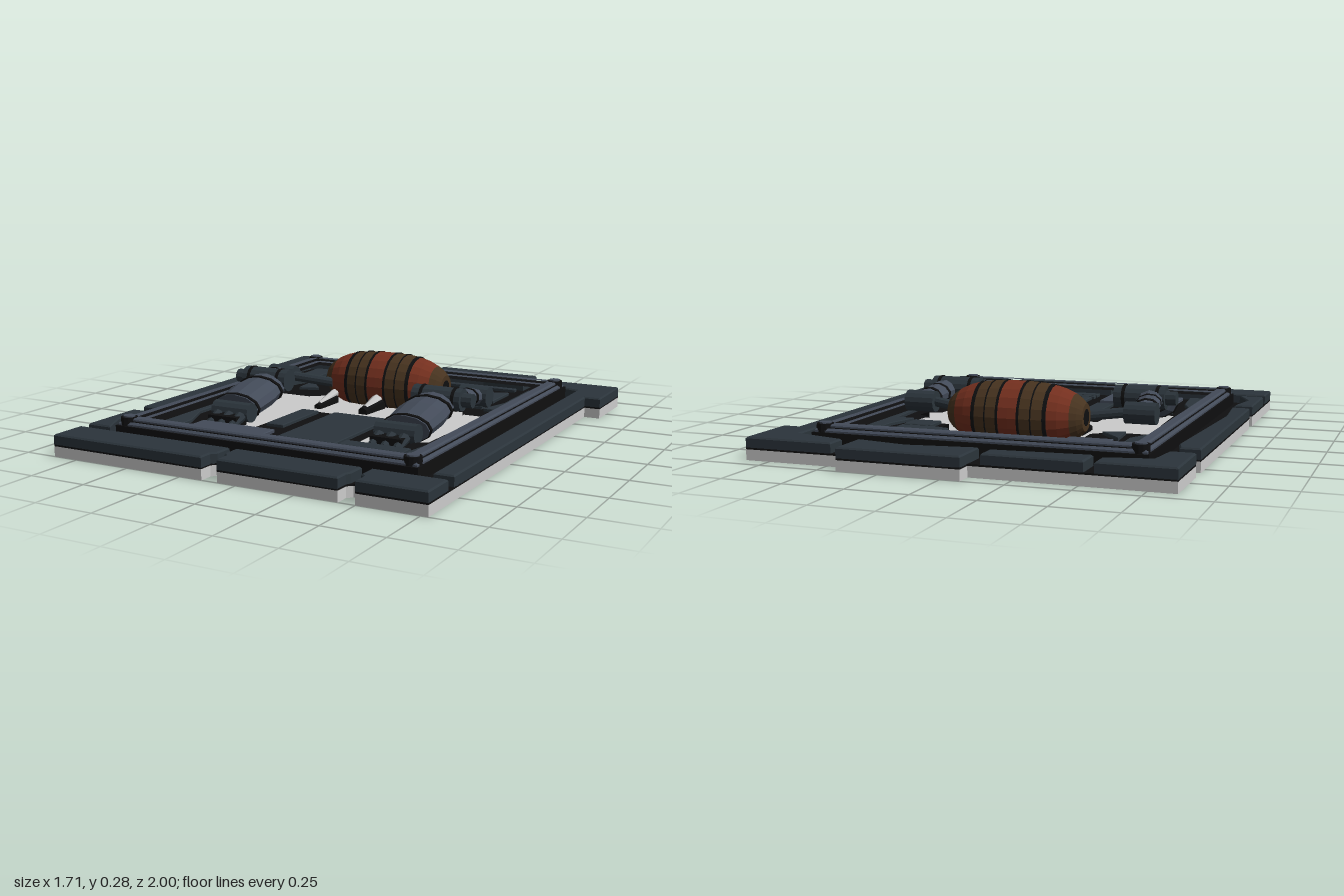
import * as THREE from 'three';

const mat = (name, color) => {
  const m = new THREE.MeshStandardMaterial({ color });
  m.name = name;
  return m;
};

export function createModel() {
  const pale = mat('pale base', 0xcccccc), slate = mat('dark slate', 0x2b343b), black = mat('black', 0x0f0f10);
  const steel = mat('blue steel', 0x434b59), brown = mat('brown wood', 0x47331f), red = mat('red band', 0x75301f);
  for (const m of [slate, black, steel, brown, red]) m.flatShading = true;
  const model = new THREE.Group();

  const add = (name, geo, material, pos = [0, 0, 0], parent = model) => {
    const mesh = new THREE.Mesh(geo, material);
    mesh.name = name;
    mesh.position.set(...pos);
    parent.add(mesh);
    return mesh;
  };
  // plan outline in (x, z), raised from y0 to y1
  const toV = pts => pts.map(([x, z]) => new THREE.Vector2(x, -z));
  const slab = (name, pts, y0, y1, material, hole, bevel = 0) => {
    const shape = new THREE.Shape(toV(pts));
    if (hole) shape.holes.push(new THREE.Path(toV(hole)));
    const geo = new THREE.ExtrudeGeometry(shape, {
      depth: y1 - y0 - bevel, bevelEnabled: bevel > 0, bevelSize: bevel,
      bevelThickness: bevel, bevelOffset: -bevel, bevelSegments: 1,
    });
    geo.rotateX(-Math.PI / 2);
    return add(name, geo, material, [0, y0, 0]);
  };
  const rect = (x0, x1, z0, z1) => [[x0, z0], [x1, z0], [x1, z1], [x0, z1]];
  // cylinder between two points
  const rod = (name, a, b, r0, r1, material, parent, squash = 1, sides = 10) => {
    const from = new THREE.Vector3(...a), to = new THREE.Vector3(...b);
    const geo = new THREE.CylinderGeometry(r1, r0, from.distanceTo(to), sides);
    geo.scale(1, 1, squash);
    const mesh = add(name, geo, material, from.clone().add(to).multiplyScalar(0.5).toArray(), parent);
    mesh.quaternion.setFromUnitVectors(new THREE.Vector3(0, 1, 0), to.sub(from).normalize());
    return mesh;
  };

  // tile base with locking notches
  const outline = [
    [-0.86, -0.93], [-0.08, -0.93], [-0.08, -1], [0.42, -1], [0.42, -0.93], [0.85, -0.93], [0.85, -0.65],
    [0.78, -0.65], [0.78, 1], [0.5, 1], [0.5, 0.94], [0.48, 0.92], [0.45, 0.92], [0.43, 0.94], [0.43, 1],
    [-0.08, 1], [-0.08, 0.94], [-0.1, 0.92], [-0.13, 0.92], [-0.15, 0.94], [-0.15, 1], [-0.86, 1],
    [-0.86, 0.5], [-0.81, 0.5], [-0.79, 0.48], [-0.79, 0.45], [-0.81, 0.43], [-0.86, 0.43],
    [-0.86, -0.57], [-0.81, -0.57], [-0.79, -0.59], [-0.79, -0.63], [-0.81, -0.65], [-0.86, -0.65],
  ];
  const recess = [
    [-0.28, -0.5], [0.2, -0.5], [0.2, -0.43], [0.27, -0.42], [0.28, -0.28], [0.35, -0.28], [0.36, -0.24],
    [0.51, -0.24], [0.49, -0.02], [0.54, 0.0], [0.53, 0.08], [0.48, 0.1], [0.47, 0.34], [0.42, 0.37], [0.41, 0.48],
    [0.19, 0.48], [0.18, 0.09], [-0.26, 0.09], [-0.27, 0.48], [-0.48, 0.48], [-0.5, 0.37], [-0.56, 0.34],
    [-0.57, -0.02], [-0.59, -0.24], [-0.42, -0.24], [-0.35, -0.3], [-0.35, -0.42], [-0.28, -0.43],
  ];
  slab('baseSlab', outline, 0, 0.043, pale);
  slab('grooveLayer', outline, 0.043, 0.05, black, recess);
  slab('innerFloor', rect(-0.66, 0.59, -0.73, 0.73), 0.05, 0.07, black, recess);

  // border planks
  const planks = [
    [[-0.86, -0.93], [-0.56, -0.93], [-0.56, -0.84], [-0.74, -0.8], [-0.76, -0.65], [-0.86, -0.65]],
    [[-0.52, -0.93], [-0.13, -0.93], [-0.13, -0.84], [-0.5, -0.81], [-0.52, -0.81]],
    [[-0.08, -1], [0.42, -1], [0.42, -0.82], [0.2, -0.86], [-0.08, -0.82]],
    [[0.48, -0.93], [0.85, -0.93], [0.85, -0.65], [0.78, -0.65], [0.78, 0.79], [0.7, 0.79], [0.7, -0.78], [0.48, -0.84]],
    [[-0.86, -0.57], [-0.78, -0.57], [-0.76, -0.5], [-0.8, 0.2], [-0.78, 0.43], [-0.86, 0.43]],
    [[-0.86, 0.5], [-0.78, 0.5], [-0.81, 0.66], [-0.75, 0.79], [-0.86, 0.79]],
    [[-0.86, 0.84], [-0.13, 0.84], [-0.13, 0.92], [-0.15, 0.94], [-0.15, 1], [-0.86, 1]],
    [[-0.1, 0.84], [0.44, 0.84], [0.44, 0.92], [0.43, 0.94], [0.43, 1], [-0.08, 1], [-0.08, 0.94], [-0.1, 0.92]],
    [[0.48, 0.84], [0.78, 0.84], [0.78, 1], [0.5, 1], [0.5, 0.94], [0.48, 0.92]],
  ];
  for (const p of planks) slab('borderPlank', p, 0.048, 0.092, slate, null, 0.006);

  // stepped square frame with corner studs
  const ring = (name, inset, width, y0, y1, material, bevel) => {
    const r = i => rect(-0.72 + i, 0.64 - i, -0.79 + i, 0.79 - i);
    slab(name, r(inset), y0, y1, material, r(inset + width), bevel);
  };
  ring('frameFoot', 0, 0.085, 0.05, 0.1, black);
  ring('frameLower', 0.008, 0.069, 0.095, 0.115, steel, 0.008);
  ring('frameLine', 0.02, 0.046, 0.11, 0.118, black);
  ring('frameRidge', 0.025, 0.034, 0.11, 0.13, steel, 0.006);
  for (const x of [-0.68, 0.6]) for (const z of [-0.75, 0.75]) {
    add('studRim', new THREE.CylinderGeometry(0.034, 0.036, 0.035, 12), black, [x, 0.115, z]);
    add('stud', new THREE.CylinderGeometry(0.024, 0.028, 0.04, 12), steel, [x, 0.118, z]);
  }

  // floor panels
  const panels = [
    [rect(-0.085, 0.175, 0.11, 0.57), slate], [rect(0.19, 0.47, 0.5, 0.57), slate],
    [rect(-0.09, 0.4, 0.59, 0.62), slate], [rect(-0.09, 0.46, 0.64, 0.69), slate],
    [rect(-0.24, -0.16, 0.12, 0.41), slate], [rect(-0.5, -0.15, 0.49, 0.69), steel],
    [rect(-0.49, -0.31, -0.69, -0.45), steel], [rect(-0.08, 0.43, -0.71, -0.68), slate],
    [[[-0.28, -0.69], [-0.14, -0.69], [-0.28, -0.52]], slate],
    [[[-0.1, -0.61], [0.2, -0.53], [0.43, -0.61], [0.43, -0.42], [0.28, -0.42], [0.21, -0.44], [0.21, -0.51], [-0.04, -0.51]], slate],
    [[[-0.64, -0.7], [-0.54, -0.7], [-0.54, -0.4], [-0.61, -0.26], [-0.61, 0.36], [-0.55, 0.5], [-0.53, 0.7], [-0.64, 0.7]], slate],
    [[[0.49, -0.7], [0.56, -0.7], [0.56, 0.45], [0.5, 0.7], [0.47, 0.6], [0.51, 0.35], [0.555, 0.1], [0.53, -0.26], [0.45, -0.26], [0.49, -0.4]], slate],
    [rect(0.31, 0.43, -0.4, -0.29), slate], [[[-0.5, -0.42], [-0.4, -0.3], [-0.49, -0.27]], slate],
  ];
  for (const [p, m] of panels) slab('floorPanel', p, 0.065, 0.084, m, null, 0.003);

  // barrel body, banded along x
  const barrel = new THREE.Group();
  barrel.name = 'barrel';
  barrel.position.set(-0.05, 0.14, -0.325);
  model.add(barrel);
  const radius = d => 0.137 * Math.sqrt(1 - Math.pow(Math.abs(d) / 0.29 * 0.93, 2.6));
  const bands = [[0, 0.04, red], [0.04, 0.05, black], [0.05, 0.095, brown], [0.095, 0.1, black], [0.1, 0.145, brown],
    [0.145, 0.16, black], [0.16, 0.2, red], [0.2, 0.245, red], [0.245, 0.27, brown], [0.27, 0.29, brown]];
  for (const s of [-1, 1]) {
    for (const [a, b, m] of bands) {
      const lift = m === black ? 0.003 : 0;
      const pts = [[0, a], [radius(a) + lift, a], [radius(b) + lift, b], [0, b]].map(p => new THREE.Vector2(...p));
      const geo = new THREE.LatheGeometry(pts, 20);
      geo.rotateZ(-s * Math.PI / 2);
      add('barrelBand', geo, m, [0, 0, 0], barrel);
    }
    add('barrelEnd', new THREE.CylinderGeometry(0.035, 0.035, 0.008, 12).rotateZ(Math.PI / 2), black, [s * 0.287, 0, 0], barrel);
  }

  // pale claws in front of the barrel
  for (const [x, w] of [[-0.27, 0.028], [-0.04, 0.04], [0.18, 0.028]]) {
    rod('clawShade', [x, 0.06, -0.21], [x, 0.05, -0.06], w, w * 0.6, black, model, 1, 6);
    rod('claw', [x, 0.085, -0.22], [x, 0.065, -0.08], w * 0.75, w * 0.3, pale, model, 1, 6);
  }

  // jointed arms, mirrored about the barrel centre
  for (const s of [1, -1]) {
    const arm = new THREE.Group();
    arm.name = s > 0 ? 'leftArm' : 'rightArm';
    arm.position.x = -0.05;
    arm.scale.x = s;
    model.add(arm);
    rod('shoulderBar', [0.24, 0.13, -0.24], [0.43, 0.15, -0.2], 0.022, 0.022, slate, arm);
    rod('shoulder', [0.42, 0.15, -0.205], [0.55, 0.15, -0.205], 0.045, 0.045, slate, arm, 1, 14);
    rod('upperArm', [0.49, 0.15, -0.18], [0.465, 0.175, 0.02], 0.048, 0.058, steel, arm, 0.75);
    for (const t of [0.25, 0.6]) {
      const p = k => [0.49 - 0.025 * k, 0.15 + 0.025 * k, -0.18 + 0.2 * k];
      rod('upperArmBand', p(t), p(t + 0.07), 0.054, 0.056, black, arm, 0.76);
    }
    rod('elbow', [0.31, 0.18, 0.03], [0.53, 0.18, 0.03], 0.048, 0.048, slate, arm, 1, 14);
    rod('elbowPin', [0.53, 0.18, 0.03], [0.575, 0.18, 0.03], 0.03, 0.03, slate, arm);
    for (const x of [0.345, 0.49]) rod('elbowRing', [x, 0.18, 0.03], [x + 0.014, 0.18, 0.03], 0.051, 0.051, black, arm, 1, 14);
    // forearm as a flattened barrel
    const f = k => [0.41 - 0.005 * k, 0.16 - 0.055 * k, 0.05 + 0.26 * k];
    rod('forearm', f(0), f(0.5), 0.095, 0.113, steel, arm, 0.55, 12);
    rod('forearmFront', f(0.5), f(1), 0.113, 0.105, steel, arm, 0.55, 12);
    for (const t of [0.2, 0.93]) rod('forearmBand', f(t), f(t + 0.05), 0.111, 0.111, black, arm, 0.56, 12);
    // wrist and stubby fingers
    rod('wrist', [0.3, 0.1, 0.35], [0.48, 0.1, 0.35], 0.042, 0.042, slate, arm, 1, 12);
    add('hand', new THREE.BoxGeometry(0.14, 0.045, 0.08), black, [0.385, 0.075, 0.41], arm);
    for (let i = 0; i < 3; i++) {
      rod('finger', [0.33 + i * 0.055, 0.09, 0.39], [0.33 + i * 0.055, 0.06, 0.465], 0.024, 0.018, slate, arm, 1, 8);
    }
  }
  return model;
}
